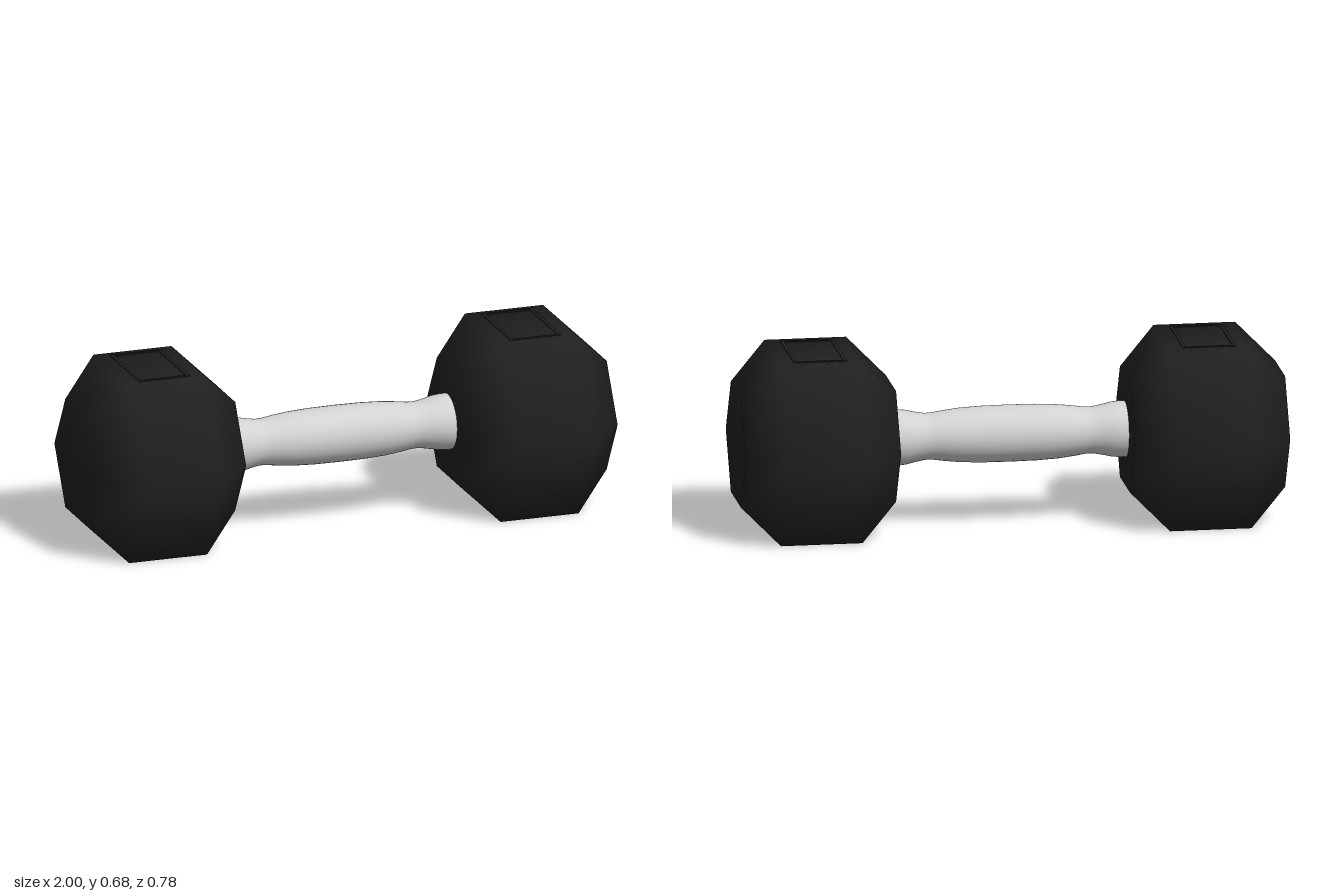
import * as THREE from 'three';

const CENTRE_Y = 0.338;

// Revolve a list of [x, radius] stations around the x axis
function turned(stations, sides) {
  const points = stations.map(([x, r]) => new THREE.Vector2(r, x));
  return new THREE.LatheGeometry(points, sides).rotateZ(-Math.PI / 2);
}

// Flat rectangular border lying on the top of a head
function rimGeometry(width, length, border, height) {
  const rect = (w, l, target) => target
    .moveTo(-w / 2, -l / 2).lineTo(w / 2, -l / 2)
    .lineTo(w / 2, l / 2).lineTo(-w / 2, l / 2).closePath();
  const shape = new THREE.Shape();
  rect(width, length, shape);
  const hole = new THREE.Path();
  rect(width - 2 * border, length - 2 * border, hole);
  shape.holes.push(hole);
  return new THREE.ExtrudeGeometry(shape, { depth: height, bevelEnabled: false })
    .rotateX(-Math.PI / 2);
}

export function createModel() {
  const rubber = new THREE.MeshStandardMaterial({ name: 'blackRubber', color: 0x202020 });
  const steel = new THREE.MeshStandardMaterial({ name: 'paleSteel', color: 0xd2d2d2 });
  const model = new THREE.Group();
  model.name = 'dumbbell';

  const add = (parent, name, geometry, material, x, y, z) => {
    const mesh = new THREE.Mesh(geometry, material);
    mesh.name = name;
    mesh.position.set(x, y, z);
    parent.add(mesh);
  };

  // Contoured grip: flared ends, narrow necks, swollen middle
  const half = [[0.1, 0.103], [0.18, 0.099], [0.24, 0.092], [0.28, 0.086], [0.305, 0.085],
    [0.34, 0.091], [0.38, 0.1], [0.41, 0.103], [0.45, 0.103]];
  const grip = [...half.map(([x, r]) => [-x, r]).reverse(), [0, 0.104], ...half];
  add(model, 'handle', turned(grip, 40), steel, 0, CENTRE_Y + 0.003, 0.002);

  // Hexagonal heads with chamfered ends and softly shaded edges
  const head = turned([[-0.285, 0], [-0.285, 0.239], [-0.15, 0.39],
    [0.15, 0.39], [0.285, 0.239], [0.285, 0]], 6);
  const rim = rimGeometry(0.195, 0.32, 0.012, 0.004);
  for (const side of [1, -1]) {
    const group = new THREE.Group();
    group.name = side > 0 ? 'leftHead' : 'rightHead';
    group.position.x = side * 0.715;
    add(group, 'hexWeight', head, rubber, 0, CENTRE_Y, 0);
    add(group, 'topPanelRim', rim, rubber, 0, CENTRE_Y + 0.337, -0.003);
    model.add(group);
  }
  return model;
}
